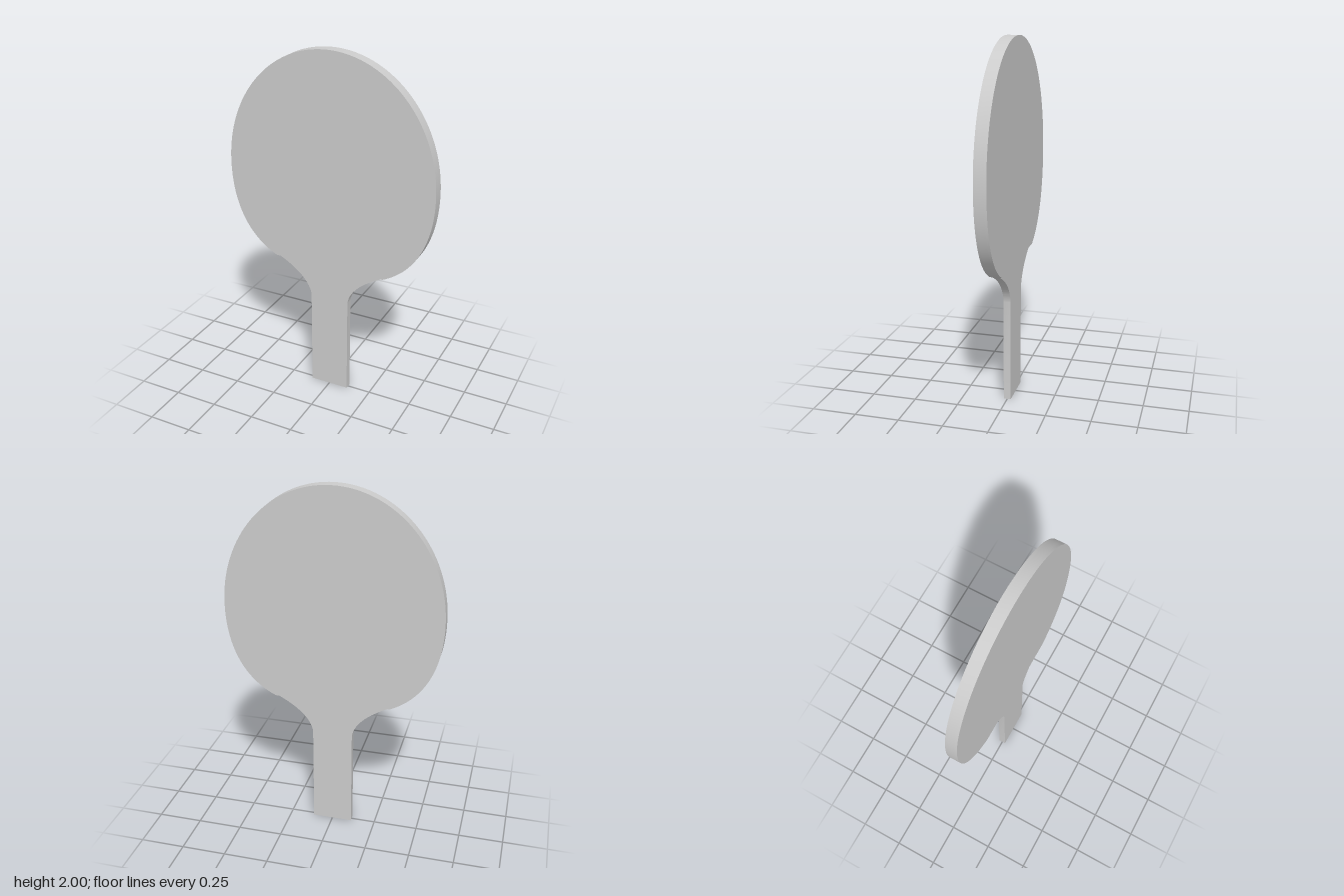
import * as THREE from 'three';
import { toCreasedNormals } from 'three/addons/utils/BufferGeometryUtils.js';

const BLADE = 0.02;    // half thickness of the wood
const RUBBER = 0.013;  // thickness of each rubber sheet
const LINE = [0.325, 0.79]; // where the rubber's straight edge meets the outline

// Rounded head, from the right end of the rubber line over the top to the left
function headCurve(shape) {
  const [x, y] = LINE;
  shape.bezierCurveTo(0.52, 0.88, 0.6, 1.08, 0.6, 1.31);
  shape.bezierCurveTo(0.6, 1.7, 0.33, 2, 0, 2);
  shape.bezierCurveTo(-0.33, 2, -0.6, 1.7, -0.6, 1.31);
  shape.bezierCurveTo(-0.6, 1.08, -0.52, 0.88, -x, y);
}

// Flat slab with smooth rim and sharp face edges
function slab(name, shape, depth, z, material) {
  const geometry = new THREE.ExtrudeGeometry(shape, { depth, bevelEnabled: false, curveSegments: 32 });
  geometry.translate(0, 0, z);
  const mesh = new THREE.Mesh(toCreasedNormals(geometry, Math.PI / 6), material);
  mesh.name = name;
  return mesh;
}

export function createModel() {
  const group = new THREE.Group();
  group.name = 'tableTennisPaddle';
  const material = new THREE.MeshStandardMaterial({ color: 0xcccccc });
  const [x, y] = LINE;

  // Wooden blade and handle in one piece, with flared neck
  const wood = new THREE.Shape();
  wood.moveTo(-0.113, 0);
  wood.lineTo(0.113, 0);
  wood.lineTo(0.113, 0.58);
  wood.bezierCurveTo(0.125, 0.67, 0.22, 0.74, x, y);
  headCurve(wood);
  wood.bezierCurveTo(-0.22, 0.74, -0.125, 0.67, -0.113, 0.58);
  wood.closePath();
  group.add(slab('bladeAndHandle', wood, BLADE * 2, -BLADE, material));

  // Rubber sheet on each face, cut straight above the neck
  const sheet = new THREE.Shape();
  sheet.moveTo(x, y);
  headCurve(sheet);
  sheet.closePath();
  group.add(slab('frontRubber', sheet, RUBBER, BLADE, material));
  group.add(slab('backRubber', sheet, RUBBER, -BLADE - RUBBER, material));

  return group;
}
